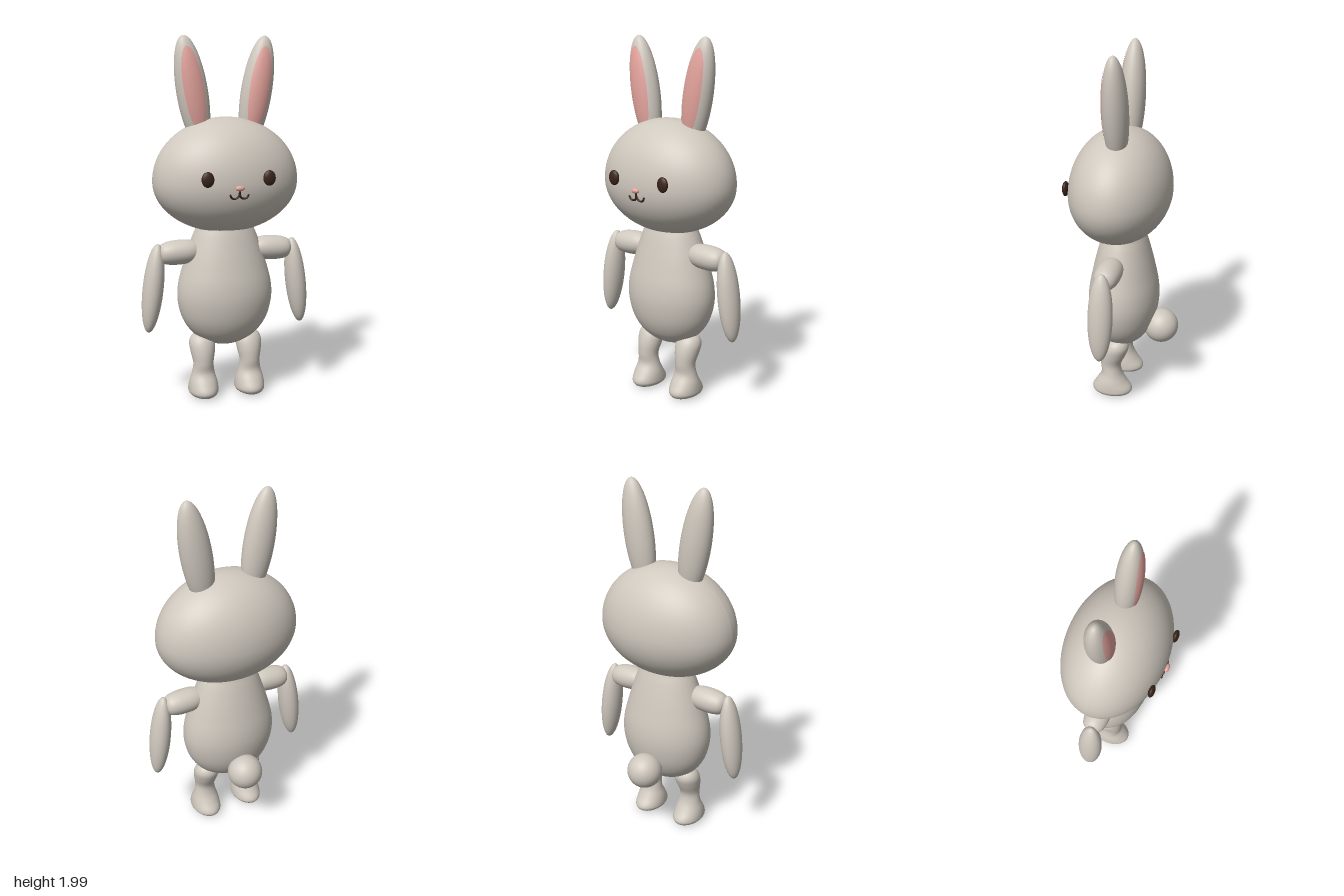
import * as THREE from 'three';

const mat = (name, color) => {
  const m = new THREE.MeshStandardMaterial({ color });
  m.name = name;
  return m;
};

// Smooth closed form from rows [y, radiusX, centreZ, radiusZ], lowest row first
function loft(rows, steps = 40, sides = 40) {
  const curve = (f) => new THREE.CatmullRomCurve3(rows.map(f), false, 'catmullrom', 0.5);
  const cx = curve(([y, rx]) => new THREE.Vector3(y, rx, 0));
  const cz = curve(([y, , zc, rz]) => new THREE.Vector3(y, zc, rz));
  const pos = [], idx = [];
  for (let i = 0; i <= steps; i++) {
    const p = cx.getPoint(i / steps), q = cz.getPoint(i / steps);
    for (let j = 0; j < sides; j++) {
      const a = (j / sides) * Math.PI * 2;
      pos.push(Math.cos(a) * p.y, p.x, q.y + Math.sin(a) * q.z);
      if (i === steps) continue;
      const k = i * sides + j, n = i * sides + ((j + 1) % sides);
      idx.push(k, k + sides, n, n, k + sides, n + sides);
    }
  }
  const g = new THREE.BufferGeometry();
  g.setAttribute('position', new THREE.Float32BufferAttribute(pos, 3));
  g.setIndex(idx);
  g.computeVertexNormals();
  return g;
}

const ellipsoid = (rx, ry, rz, w = 40, h = 28) => new THREE.SphereGeometry(1, w, h).scale(rx, ry, rz);

// Head: half-width, height above and below the widest level, half-depth
const HEAD = { x: 0.405, up: 0.345, down: 0.285, z: 0.278, cy: 1.222, cz: 0.017 };
function headGeometry() {
  const g = new THREE.SphereGeometry(1, 64, 48);
  const p = g.attributes.position;
  for (let i = 0; i < p.count; i++) {
    const y = p.getY(i);
    p.setXYZ(i, p.getX(i) * HEAD.x, y * (y > 0 ? HEAD.up : HEAD.down), p.getZ(i) * HEAD.z);
  }
  g.computeVertexNormals();
  return g;
}
const headFrontZ = (x, y) => {
  const dy = (y - HEAD.cy) / (y > HEAD.cy ? HEAD.up : HEAD.down);
  return HEAD.cz + HEAD.z * Math.sqrt(1 - (x / HEAD.x) ** 2 - dy * dy);
};

// Thin patch that follows the front of the ear
const EAR = { x: 0.086, y: 0.305, z: 0.069 };
function innerEarGeometry() {
  const g = new THREE.RingGeometry(0, 1, 48, 14);
  const p = g.attributes.position;
  for (let i = 0; i < p.count; i++) {
    const x = p.getX(i) * 0.056, y = p.getY(i) * 0.23 + 0.017;
    p.setXYZ(i, x, y, 0.003 + EAR.z * Math.sqrt(1 - (x / EAR.x) ** 2 - (y / EAR.y) ** 2));
  }
  g.computeVertexNormals();
  return g;
}

export function createModel() {
  const model = new THREE.Group();
  model.name = 'rabbit';
  const fur = mat('warm grey fur', 0xcfc8be);
  const pink = mat('soft pink', 0xe5a49d);
  const dark = mat('dark brown', 0x3a241a);

  const add = (name, geo, material, x = 0, y = 0, z = 0, parent = model) => {
    const m = new THREE.Mesh(geo, material);
    m.name = name;
    m.position.set(x, y, z);
    parent.add(m);
    return m;
  };

  // Head, pear-shaped body and round tail
  add('head', headGeometry(), fur, 0, HEAD.cy, HEAD.cz);
  const bodyProfile = [
    [0.29, 0], [0.303, 0.08], [0.345, 0.16], [0.4, 0.213], [0.47, 0.249], [0.56, 0.268],
    [0.65, 0.263], [0.75, 0.237], [0.85, 0.205], [0.95, 0.166], [1.0, 0.13], [1.02, 0],
  ];
  add('body', loft(bodyProfile.map(([y, r]) => [y, r, 0, r * 0.73]), 66, 56), fur);
  add('tail', ellipsoid(0.098, 0.098, 0.098), fur, 0, 0.412, -0.217);

  // Leg with rounded hip, narrow ankle and foot reaching forward
  const legGeo = loft([
    [0.008, 0, 0.035, 0], [0.012, 0.055, 0.035, 0.085], [0.03, 0.08, 0.035, 0.112],
    [0.055, 0.083, 0.037, 0.112], [0.095, 0.078, 0.04, 0.086], [0.145, 0.064, 0.039, 0.059],
    [0.2, 0.057, 0.043, 0.058], [0.26, 0.068, 0.028, 0.07], [0.31, 0.073, 0.013, 0.072],
    [0.345, 0.06, 0.007, 0.057], [0.366, 0.03, 0.005, 0.028], [0.37, 0, 0.005, 0],
  ], 55);
  // Upper arm: blunt-ended bar, built upright and laid sideways
  const armGeo = loft([
    [-0.115, 0], [-0.11, 0.032], [-0.09, 0.054], [-0.05, 0.065], [0, 0.068],
    [0.05, 0.065], [0.09, 0.054], [0.11, 0.032], [0.115, 0],
  ].map(([y, r]) => [y, r, 0, r * 1.05]));
  const forearmGeo = ellipsoid(0.057, 0.248, 0.068);
  const earGeo = ellipsoid(EAR.x, EAR.y, EAR.z);
  const innerGeo = innerEarGeometry();
  const eyeGeo = ellipsoid(0.034, 0.041, 0.017, 28, 20);

  // Paired parts
  for (const [side, s] of [['left', 1], ['right', -1]]) {
    add(side + 'Leg', legGeo, fur, s * 0.135);
    add(side + 'UpperArm', armGeo, fur, s * 0.265, 0.832, 0.018).rotation.z = s * (Math.PI / 2 - 0.05);
    add(side + 'Forearm', forearmGeo, fur, s * 0.412, 0.638, 0.024).rotation.z = s * 0.118;

    const ear = new THREE.Group();
    ear.name = side + 'Ear';
    ear.position.set(s * 0.18, 1.699, 0);
    ear.rotation.z = -s * 0.165;
    model.add(ear);
    add(side + 'OuterEar', earGeo, fur, 0, 0, 0, ear);
    add(side + 'InnerEar', innerGeo, pink, 0, 0, 0, ear);

    add(side + 'Eye', eyeGeo, dark, s * 0.167, 1.258, 0.281);

    // Half of the smile, curling up at the corner
    const lip = [[0, 1.195], [0.001, 1.176], [0.01, 1.161], [0.027, 1.154], [0.042, 1.16], [0.049, 1.174]]
      .map(([x, y]) => new THREE.Vector3(s * x, y, headFrontZ(x, y) + 0.002));
    add(side + 'Mouth', new THREE.TubeGeometry(new THREE.CatmullRomCurve3(lip), 28, 0.0055, 8), dark);
    add(side + 'MouthCorner', ellipsoid(0.0055, 0.0055, 0.0055, 10, 8), dark, ...lip[5].toArray());
  }

  add('nose', ellipsoid(0.025, 0.014, 0.013, 24, 16), pink, 0, 1.21, 0.302);
  return model;
}
